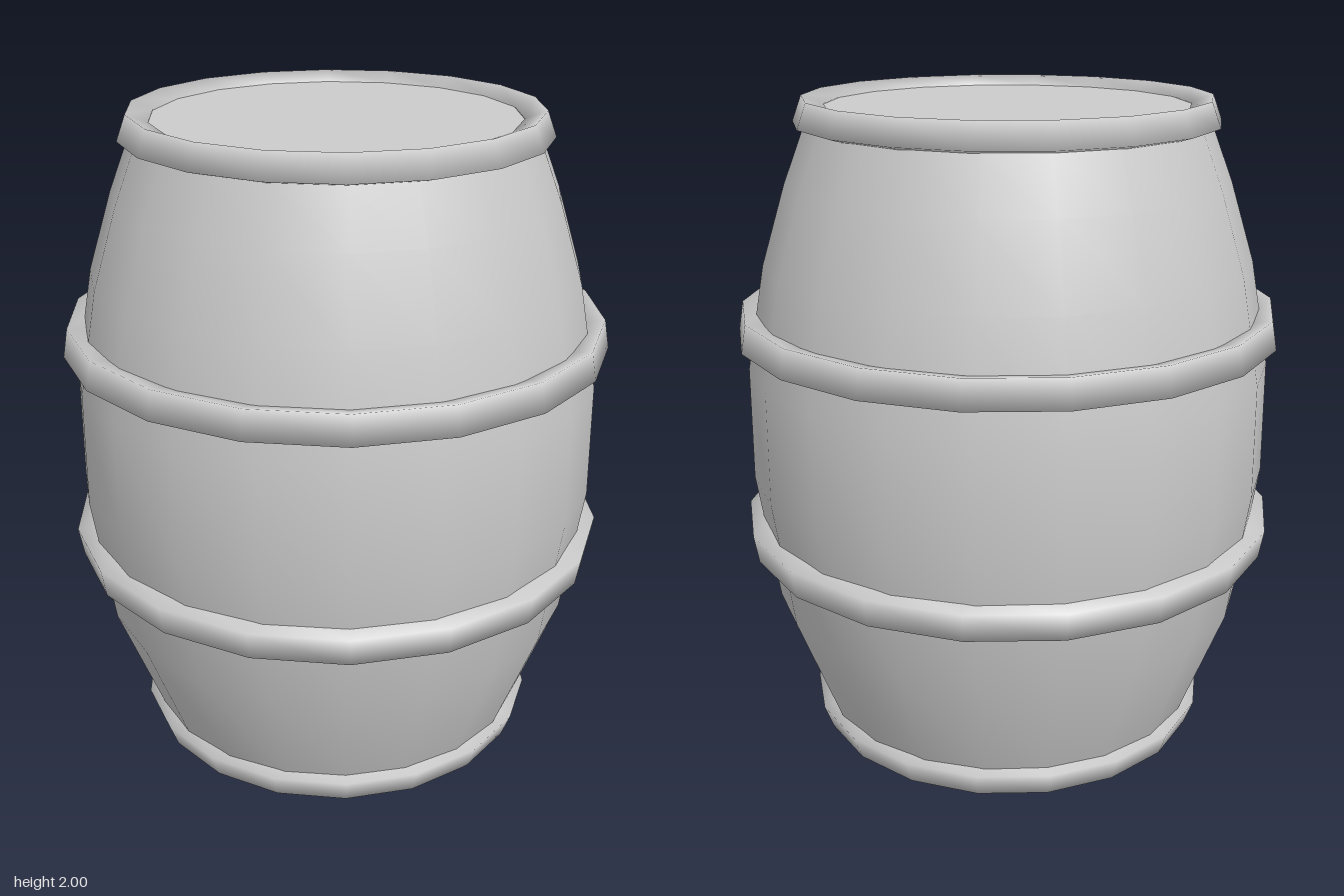
import * as THREE from 'three';

const material = new THREE.MeshStandardMaterial({ color: 0xcccccc });

// Revolve [radius, height] points, listed bottom to top along the outside
function revolve(name, points, sides) {
  const profile = points.map(([r, y]) => new THREE.Vector2(r, y));
  const mesh = new THREE.Mesh(new THREE.LatheGeometry(profile, sides), material);
  mesh.name = name;
  return mesh;
}

export function createModel() {
  const barrel = new THREE.Group();
  barrel.name = 'barrel';

  // Bulging wooden wall
  barrel.add(revolve('wall', [
    [0.583, 0.028], [0.61, 0.095], [0.742, 0.44], [0.803, 0.85],
    [0.8, 1.2], [0.742, 1.517], [0.668, 1.755], [0.608, 1.91], [0.583, 1.972],
  ], 20));

  // Tilted square bands; the seam corner is buried inside the wall
  const rim = [[0.57, 1.905], [0.638, 1.925], [0.61, 2], [0.545, 1.975], [0.57, 1.905]];
  const hoop = [[0.747, 1.278], [0.833, 1.29], [0.818, 1.377], [0.735, 1.362], [0.747, 1.278]];
  const flip = (points) => points.map(([r, y]) => [r, 2 - y]).reverse();
  barrel.add(
    revolve('topRim', rim, 18),
    revolve('upperHoop', hoop, 18),
    revolve('lowerHoop', flip(hoop), 18),
    revolve('bottomRim', flip(rim), 18),
  );

  // Flat lids set just inside the rims
  for (const [name, y, tilt] of [['topLid', 1.972, -1], ['bottomLid', 0.028, 1]]) {
    const lid = new THREE.Mesh(new THREE.CircleGeometry(0.583, 20), material);
    lid.name = name;
    lid.rotation.x = tilt * Math.PI / 2;
    lid.position.y = y;
    barrel.add(lid);
  }
  return barrel;
}
